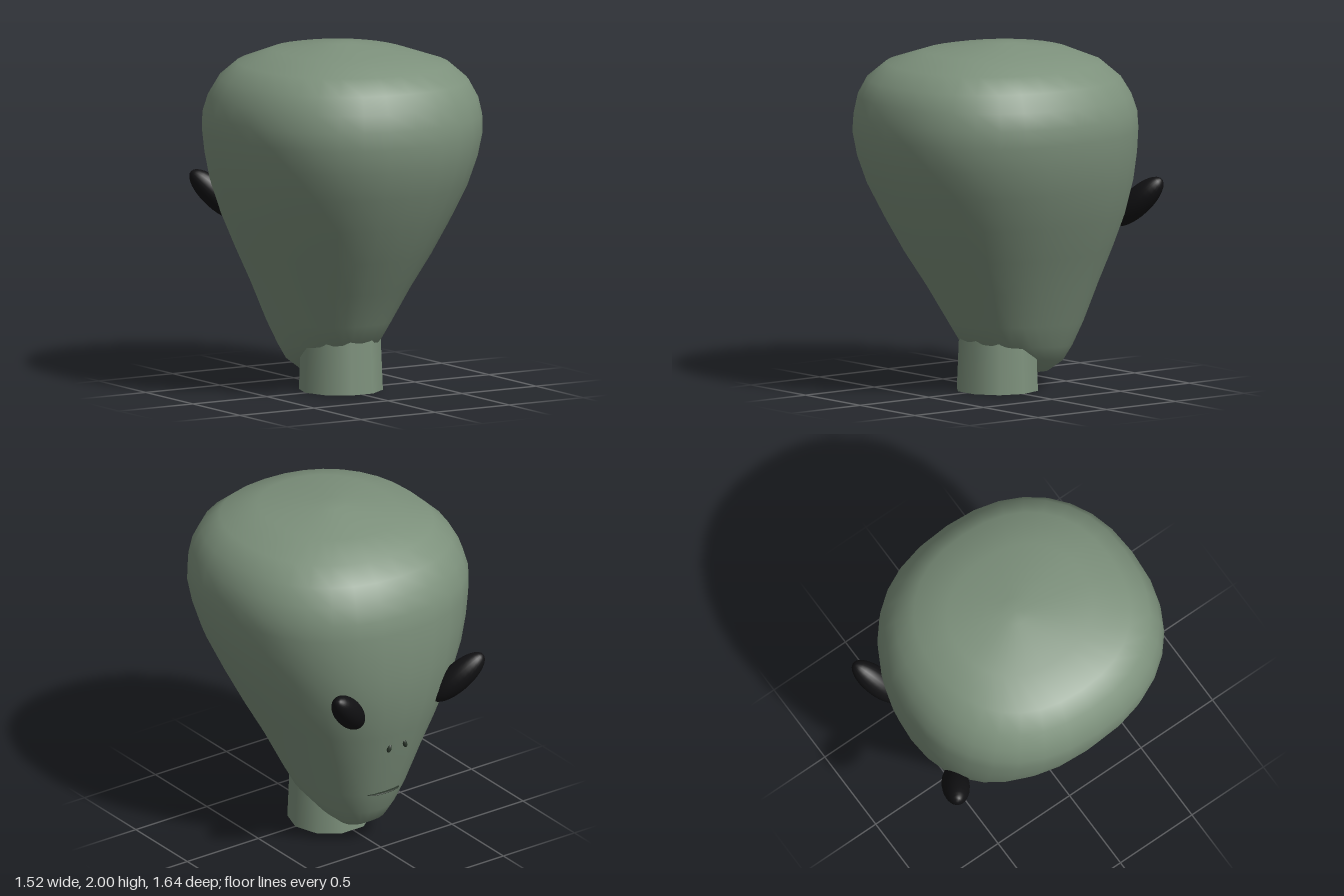
import * as THREE from 'three';

const skin = new THREE.MeshStandardMaterial({ color: 0x7d917c });
const black = new THREE.MeshStandardMaterial({ color: 0x111113 });
const dark = new THREE.MeshStandardMaterial({ color: 0x2a352a });

// Head cross-sections: [half width, z of face, y at face, z of back, y at back]
const RINGS = [
  [0.10, -0.34, 0.09, -0.15, 0.09],
  [0.19, -0.42, 0.14, 0.02, 0.20],
  [0.25, -0.48, 0.23, 0.21, 0.28],
  [0.315, -0.54, 0.37, 0.28, 0.40],
  [0.41, -0.62, 0.60, 0.40, 0.60],
  [0.51, -0.69, 0.80, 0.53, 0.80],
  [0.605, -0.75, 1.00, 0.64, 1.00],
  [0.69, -0.78, 1.20, 0.74, 1.20],
  [0.735, -0.79, 1.36, 0.795, 1.36],
  [0.76, -0.79, 1.50, 0.82, 1.50],
  [0.76, -0.78, 1.60, 0.81, 1.60],
  [0.735, -0.745, 1.70, 0.79, 1.70],
  [0.68, -0.685, 1.80, 0.74, 1.80],
  [0.58, -0.58, 1.89, 0.63, 1.89],
  [0.37, -0.41, 1.96, 0.43, 1.96],
  [0.08, -0.10, 2.00, 0.05, 2.00],
];

// Rounded-square power curve
const soft = (v) => Math.sign(v) * Math.abs(v) ** (2 / 2.25);

function headGeometry(sides = 32) {
  const pos = [], index = [];
  for (const [w, zF, yF, zB, yB] of RINGS) {
    for (let j = 0; j < sides; j++) {
      const a = (j / sides) * Math.PI * 2;
      const x = w * soft(Math.sin(a));
      const t = (soft(Math.cos(a)) + 1) / 2;
      pos.push(x, yF + (yB - yF) * t, zF + (zB - zF) * t);
    }
  }
  for (let i = 0; i < RINGS.length - 1; i++) {
    for (let j = 0; j < sides; j++) {
      const k = (j + 1) % sides;
      const a = i * sides + j, b = i * sides + k;
      index.push(a, b, a + sides, b, b + sides, a + sides);
    }
  }
  // Chin and crown caps
  const top = (RINGS.length - 1) * sides, chin = pos.length / 3;
  pos.push(0, 0.09, -0.245, 0, 2, -0.025);
  for (let j = 0; j < sides; j++) {
    const k = (j + 1) % sides;
    index.push(chin, k, j, chin + 1, top + j, top + k);
  }
  const g = new THREE.BufferGeometry();
  g.setAttribute('position', new THREE.Float32BufferAttribute(pos, 3));
  g.setIndex(index);
  g.computeVertexNormals();
  return g;
}

export function createModel() {
  const model = new THREE.Group();
  model.name = 'headBust';

  const add = (name, geometry, material, x = 0, y = 0, z = 0) => {
    const mesh = new THREE.Mesh(geometry, material);
    mesh.name = name;
    mesh.position.set(x, y, z);
    model.add(mesh);
    return mesh;
  };
  const ellipsoid = (rx, ry, rz) => new THREE.SphereGeometry(1, 24, 16).scale(rx, ry, rz);

  add('head', headGeometry(), skin);

  // Ten-sided neck
  add('neck', new THREE.CylinderGeometry(0.225, 0.24, 0.36, 10).rotateY(Math.PI / 2), skin, 0, 0.18, 0);

  // Slanted eyes and nostrils, mirrored
  for (const [side, s] of [['left', -1], ['right', 1]]) {
    const eye = add(side + 'Eye', ellipsoid(0.08, 0.2, 0.08), black, s * 0.385, 1.06, -0.715);
    const axis = new THREE.Vector3(s * 0.6, 0.65, -0.35).normalize();
    eye.quaternion.setFromUnitVectors(new THREE.Vector3(0, 1, 0), axis);

    const nostril = add(side + 'Nostril', ellipsoid(0.013, 0.026, 0.014), dark, s * 0.055, 0.71, -0.657);
    nostril.rotation.z = s * 0.3;
  }

  // Thin slit mouth
  add('mouth', ellipsoid(0.11, 0.008, 0.035), dark, 0, 0.37, -0.522);

  // The face looks toward -z, so its own left lies on -x; names follow +x as left
  const swap = { leftEye: 'rightEye', rightEye: 'leftEye', leftNostril: 'rightNostril', rightNostril: 'leftNostril' };
  for (const part of model.children) part.name = swap[part.name] ?? part.name;

  return model;
}
